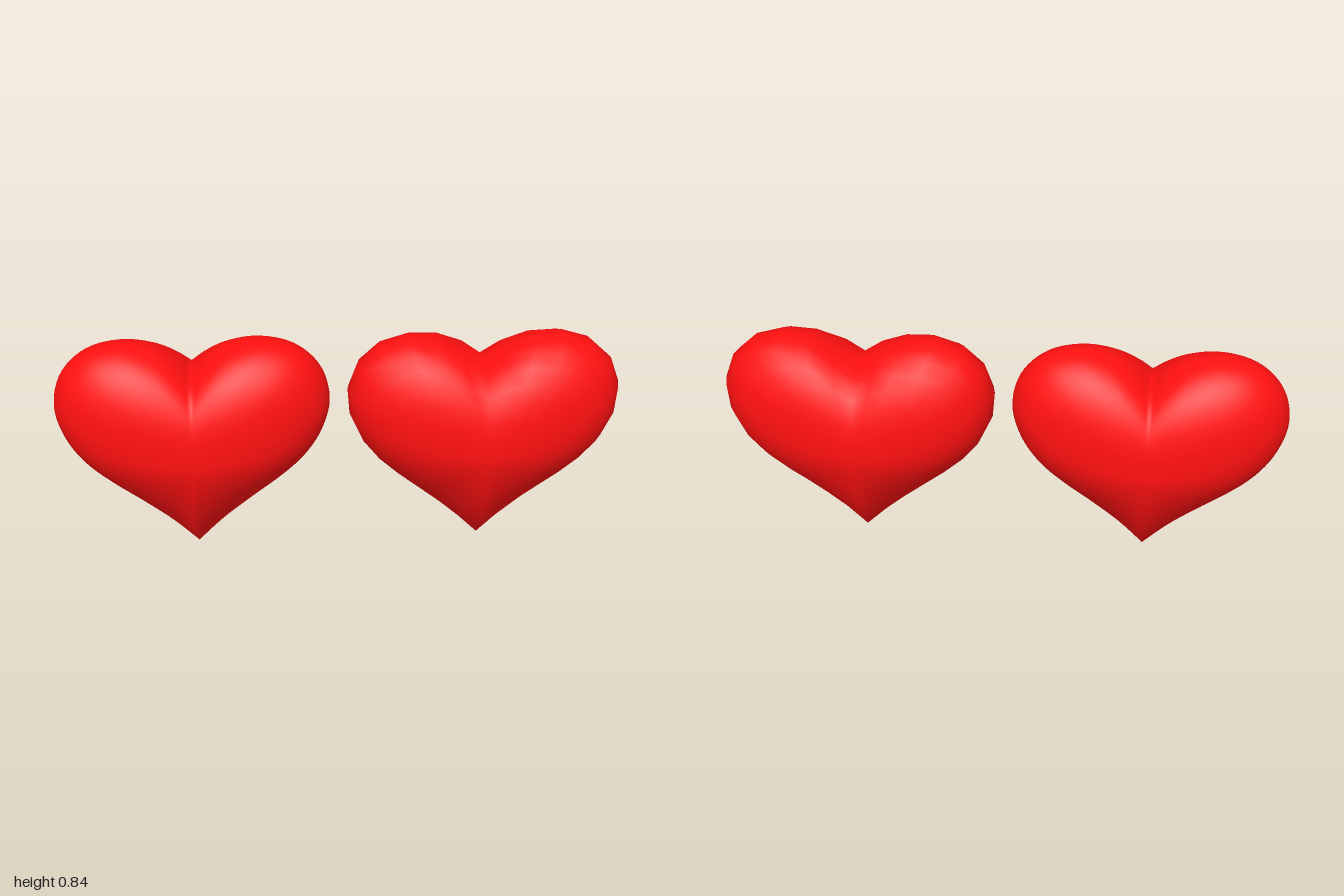
import * as THREE from 'three';

const red = new THREE.MeshStandardMaterial({ color: 0xff1010 });
const centreY = 0.45, depth = 0.215;

// Right half of the heart outline, from the cleft over the lobe to the tip
const outline = new THREE.CatmullRomCurve3([
  [0, 0.725], [0.055, 0.773], [0.13, 0.815], [0.245, 0.836], [0.37, 0.805], [0.455, 0.72],
  [0.485, 0.6], [0.46, 0.49], [0.4, 0.385], [0.315, 0.292], [0.2, 0.19], [0.09, 0.093], [0, 0],
].map(([x, y]) => new THREE.Vector3(x, y, 0)), false, 'centripetal');

// Puffed heart: rings of the outline shrink towards a front and a back pole
function heartGeometry(half, rings) {
  const right = outline.getSpacedPoints(half);
  const left = right.slice(1, -1).reverse().map(p => new THREE.Vector3(-p.x, p.y, 0));
  const loop = [...right, ...left], n = loop.length;

  const positions = [0, centreY, depth];
  for (let j = 1; j < rings; j++) {
    const a = (j / rings) * Math.PI;
    const s = Math.sin(a), side = j * 2 === rings ? 0 : Math.sign(Math.cos(a));
    for (const p of loop) {
      // The cleft fades out towards the middle
      const fill = p.y > 0.7 && Math.abs(p.x) < 0.245 ? (0.836 - p.y) * (1 - s) : 0;
      // Round at the lobes, sharper towards the tip
      const k = 1 - THREE.MathUtils.smoothstep(p.y, 0, 0.5);
      const power = THREE.MathUtils.lerp(2.3, 1.7, k), round = THREE.MathUtils.lerp(0.5, 0.9, k);
      const z = side * depth * Math.pow(Math.max(0, 1 - Math.pow(s, power)), round);
      positions.push(p.x * s, centreY + (p.y + fill - centreY) * s, z);
    }
  }
  positions.push(0, centreY, -depth);

  const last = positions.length / 3 - 1;
  const id = (j, i) => (j === 0 ? 0 : j === rings ? last : 1 + (j - 1) * n + (i % n));
  const index = [];
  for (let j = 0; j < rings; j++) {
    for (let i = 0; i < n; i++) {
      const a = id(j, i), b = id(j, i + 1), c = id(j + 1, i), d = id(j + 1, i + 1);
      if (j > 0) index.push(a, b, c);
      if (j < rings - 1) index.push(b, d, c);
    }
  }
  const geometry = new THREE.BufferGeometry();
  geometry.setAttribute('position', new THREE.Float32BufferAttribute(positions, 3));
  geometry.setIndex(index);
  geometry.computeVertexNormals();
  return geometry;
}

export function createModel() {
  const group = new THREE.Group();
  group.name = 'hearts';
  // A finely divided heart and a coarser one beside it
  for (const [name, x, half, rings] of [['smoothHeart', -0.515, 64, 48], ['coarseHeart', 0.515, 14, 16]]) {
    const heart = new THREE.Mesh(heartGeometry(half, rings), red);
    heart.name = name;
    heart.position.x = x;
    group.add(heart);
  }
  return group;
}
